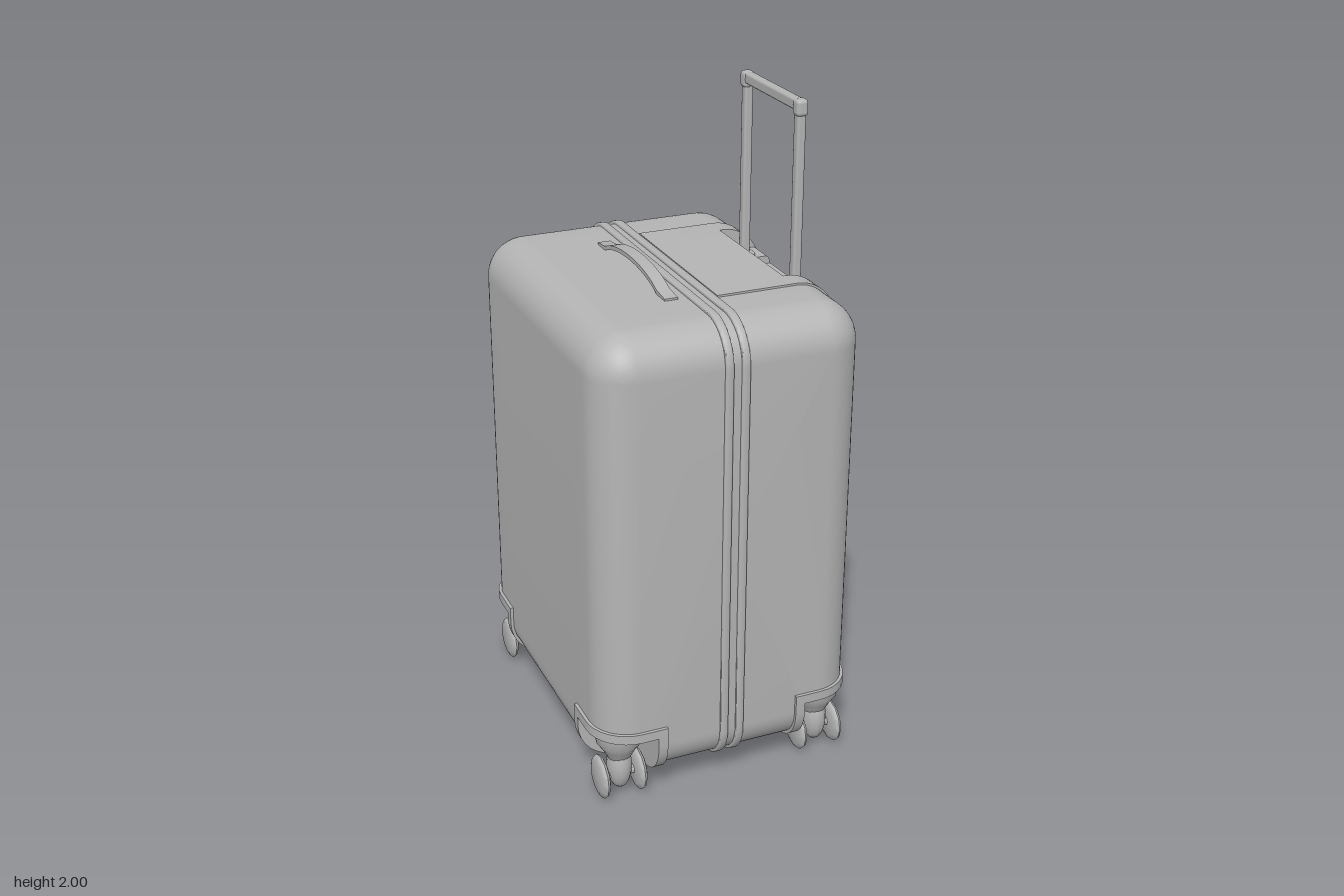
import * as THREE from 'three';
import { toCreasedNormals } from 'three/addons/utils/BufferGeometryUtils.js';
import { RoundedBoxGeometry } from 'three/addons/geometries/RoundedBoxGeometry.js';

const grey = new THREE.MeshStandardMaterial({ color: 0xb4b4b4 });
grey.name = 'plain grey';

function add(parent, name, geometry, x = 0, y = 0, z = 0) {
  const mesh = new THREE.Mesh(geometry, grey);
  mesh.name = name;
  mesh.position.set(x, y, z);
  parent.add(mesh);
  return mesh;
}

// Rounded case, swept along z, with wheel pockets, raised top panel and handle recess
function caseGeometry() {
  const R = 0.12, HALF_PI = Math.PI / 2;
  const outline = [];
  const point = (x, y, angle, flags = '') => outline.push({ x, y, c: Math.cos(angle), s: Math.sin(angle), flags });
  const arc = (x, y, start, flags) => {
    for (let i = 0; i <= 12; i++) point(x, y, start + HALF_PI * i / 12, flags);
  };
  point(0.24, 0.2, -HALF_PI);
  point(0.24, 0.2, -HALF_PI, 'pocket');
  arc(0.29, 0.2, -HALF_PI, 'pocket');
  point(0.29, 0.23, 0);
  point(0.29, 1.36, 0);
  point(0.29, 1.36, 0, 'panel');
  arc(0.29, 1.37, 0, 'panel recess');
  point(0.28, 1.37, HALF_PI, 'panel recess');
  point(0.28, 1.37, HALF_PI, 'panel');
  point(0.04, 1.37, HALF_PI, 'panel');
  point(0.04, 1.37, HALF_PI);
  arc(-0.29, 1.37, HALF_PI, '');
  point(-0.29, 0.23, Math.PI);
  arc(-0.29, 0.2, Math.PI, 'pocket');
  point(-0.24, 0.2, -HALF_PI, 'pocket');
  point(-0.24, 0.2, -HALF_PI);

  // Half the sections: level 0 pockets, 1 plain, 2 panel, 3 and 4 recess
  const half = [];
  for (let i = 0; i <= 12; i++) {
    const t = HALF_PI * (1 - i / 12);
    half.push([0.4 + R * Math.sin(t), R * Math.cos(t), 0]);
  }
  [0.33, 0.29, 0.22, 0.13].forEach((z, k) => half.push([z, R, k], [z, R, k + 1]));
  const sections = [
    ...half.map(([z, r, k]) => [-z, r, k]),
    ...half.slice().reverse(),
  ];

  const position = [], index = [], n = outline.length;
  for (const [z, r, level] of sections) {
    for (const p of outline) {
      const rr = r + (level >= 2 && p.flags.includes('panel') ? 0.006 : 0);
      let y = p.y + rr * p.s;
      if (level === 0 && p.flags === 'pocket') y = Math.max(y, 0.23);
      if (level >= 3 && p.flags.includes('recess')) y = Math.min(y, level === 3 ? 1.425 : 1.4);
      position.push(p.x + rr * p.c, y, z);
    }
  }
  const last = sections.length - 1, centre = sections.length * n;
  position.push(0, 0.785, -0.52, 0, 0.785, 0.52);
  for (let j = 0; j < n; j++) {
    const k = (j + 1) % n;
    for (let i = 0; i < last; i++) {
      const a = i * n + j, b = i * n + k;
      index.push(a, b, b + n, a, b + n, a + n);
    }
    index.push(centre, k, j, centre + 1, last * n + j, last * n + k);
  }
  const g = new THREE.BufferGeometry();
  g.setAttribute('position', new THREE.Float32BufferAttribute(position, 3));
  g.setIndex(index);
  return toCreasedNormals(g, 0.6);
}

// Strip that turns a rounded corner from (a0, B) to (A, b0)
function cornerStrip(a0, b0, A, B) {
  const da = Math.sign(A - a0), db = Math.sign(B - b0), R = 0.13, thick = 0.025;
  const ca = A - da * R, cb = B - db * R, outer = [], inner = [];
  for (let i = 0; i <= 8; i++) {
    const t = Math.PI / 2 * i / 8, s = Math.sin(t), c = Math.cos(t);
    outer.push(new THREE.Vector2(ca + da * R * s, cb + db * R * c));
    inner.push(new THREE.Vector2(ca + da * (R - thick) * s, cb + db * (R - thick) * c));
  }
  const shape = new THREE.Shape([
    new THREE.Vector2(a0, B), ...outer, new THREE.Vector2(A, b0),
    new THREE.Vector2(A - da * thick, b0), ...inner.reverse(), new THREE.Vector2(a0, B - db * thick),
  ]);
  return toCreasedNormals(new THREE.ExtrudeGeometry(shape, { depth: 0.03, bevelEnabled: false }), 0.6);
}

// Rounded rectangle outline centred on the origin
function roundedRect(path, w, h, r) {
  path.absarc(w - r, h - r, r, 0, Math.PI / 2);
  path.absarc(r - w, h - r, r, Math.PI / 2, Math.PI);
  path.absarc(r - w, r - h, r, Math.PI, Math.PI * 1.5);
  path.absarc(w - r, r - h, r, Math.PI * 1.5, Math.PI * 2);
  path.closePath();
  return path;
}

function lathe(points, sides) {
  const g = new THREE.LatheGeometry(points.map(([x, y]) => new THREE.Vector2(x, y)), sides);
  return toCreasedNormals(g, 0.7);
}

export function createModel() {
  const model = new THREE.Group();
  model.name = 'suitcase';
  add(model, 'case', caseGeometry());

  // Two ribs along the closing seam
  const ring = roundedRect(new THREE.Shape(), 0.526, 0.711, 0.126);
  ring.holes.push(roundedRect(new THREE.Path(), 0.5, 0.685, 0.1));
  const ribGeometry = toCreasedNormals(new THREE.ExtrudeGeometry(ring, {
    depth: 0.016, bevelThickness: 0.004, bevelSize: 0.004, bevelSegments: 2, curveSegments: 12,
  }).rotateY(-Math.PI / 2), 0.9);
  for (const x of [-0.019, 0.031]) add(model, 'seamRib', ribGeometry, x, 0.785, 0);

  // Arched carry strap on the top
  const strap = new THREE.Shape();
  strap.moveTo(-0.26, 1.485);
  strap.lineTo(-0.26, 1.496);
  strap.lineTo(-0.2, 1.503);
  strap.bezierCurveTo(-0.1, 1.55, 0.1, 1.55, 0.2, 1.503);
  strap.lineTo(0.26, 1.496);
  strap.lineTo(0.26, 1.485);
  strap.lineTo(0.2, 1.49);
  strap.bezierCurveTo(0.1, 1.537, -0.1, 1.537, -0.2, 1.49);
  strap.closePath();
  const strapGeometry = new THREE.ExtrudeGeometry(strap, { depth: 0.04, bevelEnabled: false, curveSegments: 20 });
  add(model, 'carryStrap', toCreasedNormals(strapGeometry.rotateY(-Math.PI / 2), 0.6), -0.068, 0, 0);

  // Telescopic handle
  const handle = new THREE.Group();
  handle.name = 'pullHandle';
  model.add(handle);
  for (const s of [-1, 1]) {
    add(handle, 'handleRod', new RoundedBoxGeometry(0.028, 0.57, 0.03, 2, 0.008), 0.343, 1.69, s * 0.173);
    add(handle, 'rodCollar', new RoundedBoxGeometry(0.05, 0.02, 0.055, 2, 0.005), 0.343, 1.427, s * 0.173);
    add(handle, 'gripEnd', new RoundedBoxGeometry(0.037, 0.05, 0.038, 3, 0.012), 0.343, 1.975, s * 0.174);
  }
  add(handle, 'grip', new RoundedBoxGeometry(0.03, 0.034, 0.37, 3, 0.008), 0.343, 1.981, 0);

  // Corner guards and casters
  const housing = lathe([[0, 0.125], [0.035, 0.13], [0.05, 0.16], [0.07, 0.19], [0.073, 0.225], [0.06, 0.24], [0, 0.24]], 16);
  const wheel = lathe([[0, -0.016], [0.05, -0.013], [0.064, -0.007], [0.068, 0], [0.064, 0.007], [0.05, 0.013], [0, 0.016]], 12)
    .rotateZ(Math.PI / 2);
  const axle = new THREE.CylinderGeometry(0.015, 0.015, 0.12, 10).rotateZ(Math.PI / 2);
  const fork = new THREE.SphereGeometry(1, 14, 10).scale(0.038, 0.08, 0.045);
  for (const sx of [-1, 1]) for (const sz of [-1, 1]) {
    const guard = new THREE.Group();
    guard.name = 'cornerGuard';
    model.add(guard);
    add(guard, 'upperGuard', cornerStrip(sx * 0.21, sz * 0.3, sx * 0.42, sz * 0.53).rotateX(Math.PI / 2), 0, 0.26, 0);
    add(guard, 'sideGuard', cornerStrip(sx * 0.21, 0.26, sx * 0.42, 0.07), 0, 0, sz > 0 ? 0.3 : -0.33);
    add(guard, 'endGuard', cornerStrip(sz * 0.3, 0.26, sz * 0.53, 0.07).rotateY(-Math.PI / 2), sx > 0 ? 0.24 : -0.21, 0, 0);

    const caster = new THREE.Group();
    caster.name = 'caster';
    caster.position.set(sx * 0.326, 0, sz * 0.425);
    model.add(caster);
    add(caster, 'casterHousing', housing);
    add(caster, 'casterFork', fork, 0, 0.1, 0);
    add(caster, 'axle', axle, 0, 0.07, 0);
    for (const s of [-1, 1]) add(caster, 'wheel', wheel, s * 0.059, 0.07, 0);
  }

  // Rest the wheels exactly on the ground
  const box = new THREE.Box3().setFromObject(model);
  for (const child of model.children) child.position.y -= box.min.y;
  return model;
}
